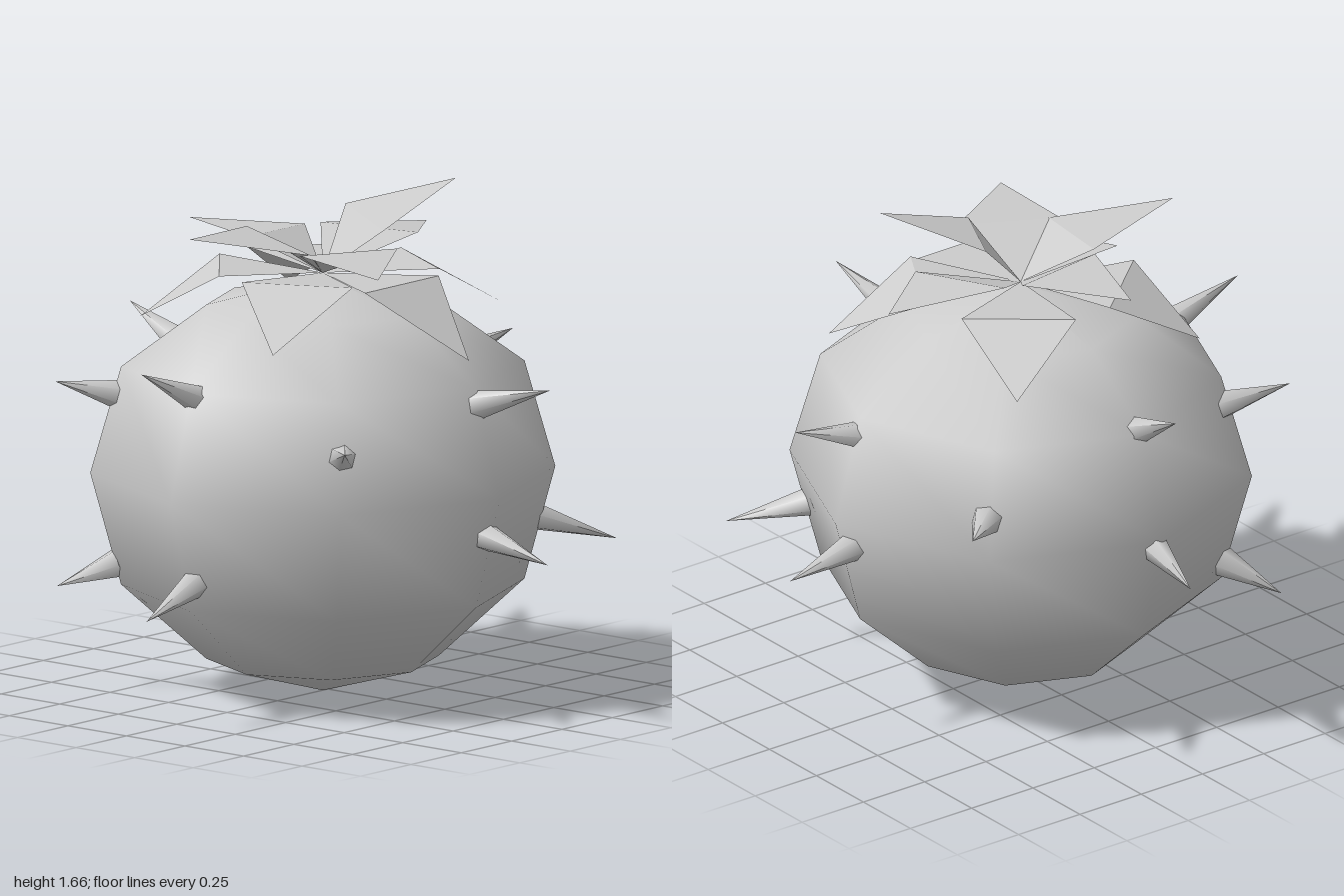
import * as THREE from 'three';

const CX = -0.025; // the body sits slightly off centre because of the uneven spikes

export function createModel() {
  const group = new THREE.Group();
  const grey = new THREE.MeshStandardMaterial({ color: 0xcccccc });
  const leafGrey = new THREE.MeshStandardMaterial({ color: 0xcccccc, flatShading: true, side: THREE.DoubleSide });

  function add(name, geometry, material) {
    const mesh = new THREE.Mesh(geometry, material);
    mesh.name = name;
    group.add(mesh);
    return mesh;
  }

  // Round eight-sided fruit body with a flatter crown
  const profile = [[0, 0], [0.378, 0.11], [0.655, 0.36], [0.755, 0.73], [0.655, 1.08], [0.378, 1.28], [0, 1.37]]
    .map(([r, y]) => new THREE.Vector2(r, y));
  add('body', new THREE.LatheGeometry(profile, 8), grey).position.x = CX;

  // Spikes: a point on the skin, then the tip
  const spikes = [
    [[-0.02, 0.70, -0.72], [0.04, 0.67, -0.99]],
    [[-0.03, 1.08, -0.62], [-0.03, 1.18, -0.82]],
    [[0.50, 0.86, -0.50], [0.70, 0.92, -0.69]],
    [[0.70, 0.645, -0.03], [0.97, 0.62, -0.07]],
    [[0.62, 1.01, 0.02], [0.85, 1.07, 0.06]],
    [[0.48, 0.56, 0.47], [0.68, 0.48, 0.65]],
    [[-0.03, 0.60, 0.71], [-0.06, 0.55, 0.99]],
    [[-0.015, 1.03, 0.66], [0.01, 1.11, 0.94]],
    [[-0.50, 0.905, 0.49], [-0.66, 0.96, 0.64]],
    [[-0.69, 0.455, 0.02], [-0.97, 0.38, 0.06]],
    [[-0.65, 1.06, 0], [-0.88, 1.17, -0.04]],
    [[-0.50, 0.99, -0.48], [-0.68, 1.045, -0.58]],
    [[-0.49, 0.42, -0.50], [-0.59, 0.345, -0.65]],
  ];
  const up = new THREE.Vector3(0, 1, 0);
  for (const [base, tip] of spikes) {
    const a = new THREE.Vector3(...base), b = new THREE.Vector3(...tip);
    const dir = b.clone().sub(a).normalize();
    a.addScaledVector(dir, -0.03); // sink the base into the skin
    const spike = add('spike', new THREE.ConeGeometry(0.052, a.distanceTo(b), 6), grey);
    spike.position.copy(a).lerp(b, 0.5);
    spike.quaternion.setFromUnitVectors(up, dir);
  }

  // A leaf is a kite folded across its widest line
  function addLeaf(name, root, sideA, tip, sideB) {
    const geometry = new THREE.BufferGeometry();
    geometry.setAttribute('position', new THREE.Float32BufferAttribute([root, sideA, tip, sideB].flat(), 3));
    geometry.setIndex([0, 1, 3, 1, 2, 3]);
    geometry.computeVertexNormals();
    add(name, geometry, leafGrey);
  }

  // Lower leaves droop over the crown
  const lowerTips = [[-0.02, 0.62], [0.52, 0.31], [0.35, -0.47], [-0.41, -0.45], [-0.61, 0.29]];
  lowerTips.forEach(([x, z], i) => {
    const dx = x - CX, length = Math.hypot(dx, z);
    const ux = dx / length, uz = z / length;
    const foldY = i === 0 ? 1.385 : 1.405;
    const side = (w) => [CX + ux * 0.335 - uz * w, foldY, uz * 0.335 + ux * w];
    addLeaf('lowerLeaf', [CX, 1.38, 0], side(0.185), [x, i === 0 ? 1.17 : 1.235, z], side(-0.185));
  });

  // Upper leaves stand up unevenly
  const upperLeaves = [
    [[0.13, 1.49, -0.21], [-0.07, 1.50, -0.53], [-0.19, 1.50, -0.18]],
    [[-0.17, 1.53, -0.20], [-0.57, 1.56, -0.10], [-0.25, 1.49, 0.145]],
    [[-0.28, 1.49, 0.12], [-0.32, 1.465, 0.49], [0.02, 1.49, 0.28]],
    [[0.02, 1.54, 0.22], [0.38, 1.66, 0.22], [0.17, 1.57, -0.07]],
    [[0.32, 1.475, 0.11], [0.56, 1.455, -0.06], [0.185, 1.49, -0.19]],
  ];
  for (const [a, tip, b] of upperLeaves) addLeaf('upperLeaf', [CX, 1.38, 0], a, tip, b);

  return group;
}
